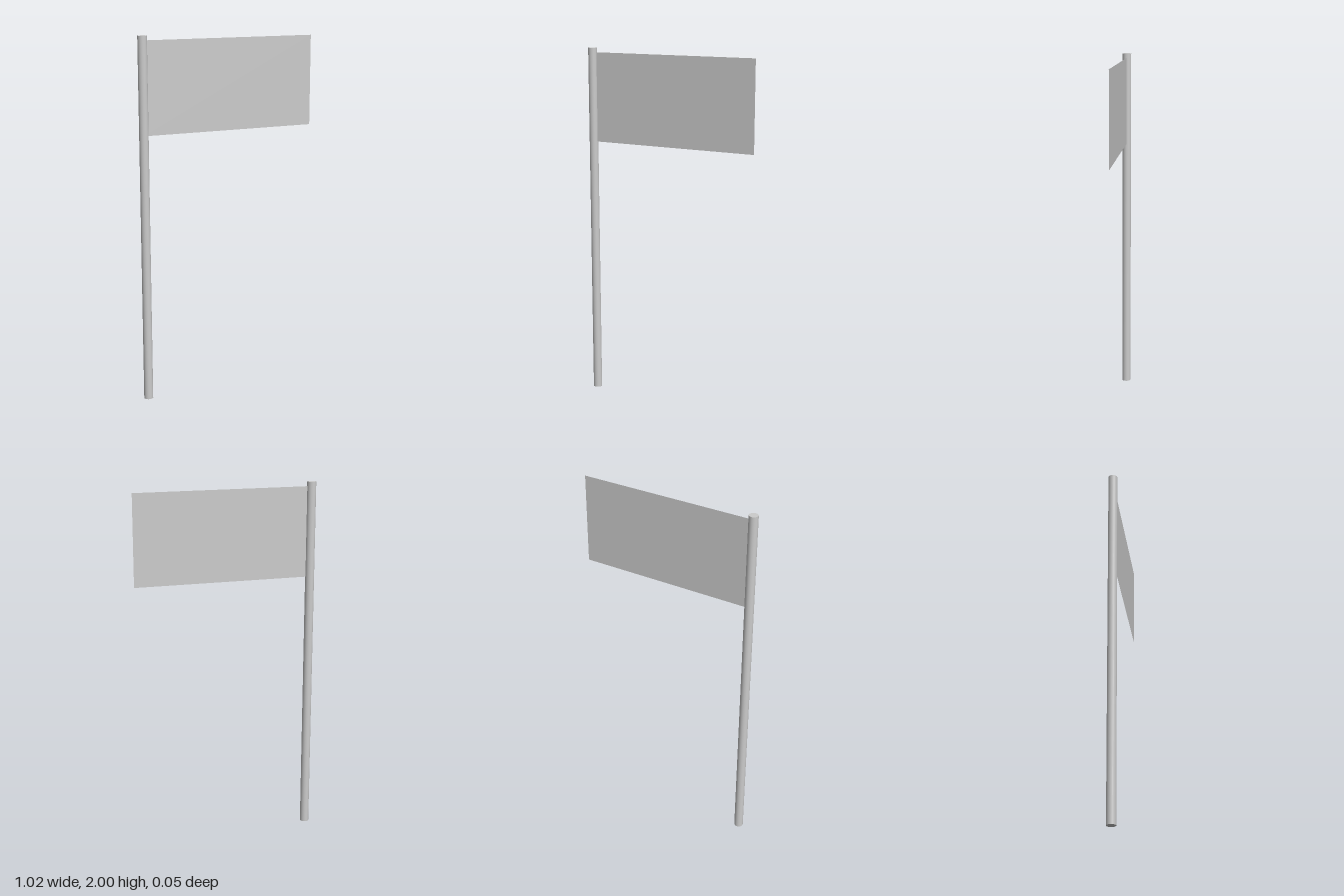
import * as THREE from 'three';

export function createModel() {
  const model = new THREE.Group();
  const poleRadius = 0.025, poleHeight = 2;
  const flagWidth = 1, flagHeight = 0.5;
  const poleX = -(flagWidth + poleRadius) / 2 + poleRadius;

  // Upright round pole
  const pole = new THREE.Mesh(
    new THREE.CylinderGeometry(poleRadius, poleRadius, poleHeight, 16),
    new THREE.MeshStandardMaterial({ color: 0xcccccc })
  );
  pole.name = 'pole';
  pole.position.set(poleX, poleHeight / 2, 0);

  // Flat flag, attached along the pole's axis just below the top
  const flag = new THREE.Mesh(
    new THREE.PlaneGeometry(flagWidth, flagHeight),
    new THREE.MeshStandardMaterial({ color: 0xcccccc, side: THREE.DoubleSide })
  );
  flag.name = 'flag';
  flag.position.set(poleX + flagWidth / 2, poleHeight - 0.025 - flagHeight / 2, 0);

  model.add(pole, flag);
  return model;
}
